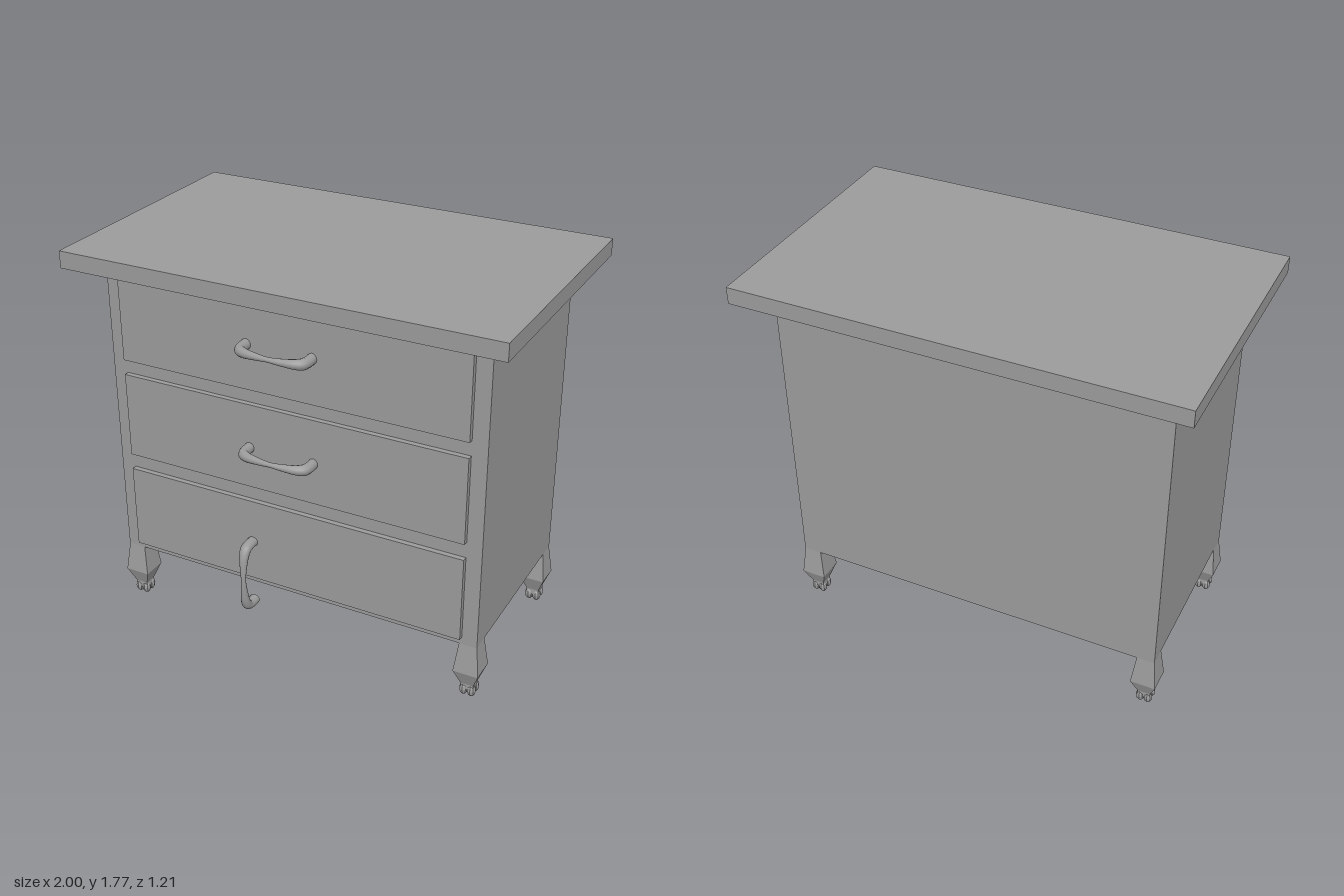
import * as THREE from 'three';

const color = 0x9b9b9b;
const smooth = new THREE.MeshStandardMaterial({ color });
const faceted = new THREE.MeshStandardMaterial({ color, flatShading: true });

function add(parent, name, geometry, material, x = 0, y = 0, z = 0) {
  const mesh = new THREE.Mesh(geometry, material);
  mesh.name = name;
  mesh.position.set(x, y, z);
  parent.add(mesh);
  return mesh;
}

// Bow handle along x, mounted on z = 0, slender in the middle
function createHandle() {
  const handle = new THREE.Group();
  const half = [[0.154, 0], [0.154, 0.035], [0.147, 0.062], [0.12, 0.078], [0.06, 0.088]];
  const points = [
    ...half.map(([x, z]) => new THREE.Vector3(-x, 0, z)),
    new THREE.Vector3(0, 0, 0.091),
    ...half.slice().reverse().map(([x, z]) => new THREE.Vector3(x, 0, z)),
  ];
  const path = new THREE.CatmullRomCurve3(points);
  const rings = 40, sides = 12;
  const bar = new THREE.TubeGeometry(path, rings, 1, sides);
  const pos = bar.attributes.position;
  const v = new THREE.Vector3();
  for (let i = 0; i <= rings; i++) {
    const centre = path.getPointAt(i / rings);
    const t = Math.min(1, Math.abs(centre.x) / 0.145);
    const wide = 0.011 + 0.014 * t ** 1.3;
    const deep = 0.010 + 0.0125 * t;
    for (let j = 0; j <= sides; j++) {
      const k = i * (sides + 1) + j;
      v.fromBufferAttribute(pos, k).sub(centre);
      pos.setXYZ(k, centre.x + v.x * deep, v.y * wide, centre.z + v.z * deep);
    }
  }
  add(handle, 'handleBar', bar, smooth);
  // Flat ends against the drawer
  for (const x of [-0.154, 0.154]) {
    const end = add(handle, 'handleEnd', new THREE.CircleGeometry(1, sides), smooth, x);
    end.rotation.y = Math.PI;
    end.scale.set(0.0225, 0.025, 1);
  }
  return handle;
}

// Square tapered leg with a small clawed foot
function createLeg() {
  const leg = new THREE.Group();
  const profile = [[0, 0.012], [0.02, 0.012], [0.03, 0.035], [0.029, 0.06], [0.058, 0.135], [0.041, 0.277], [0, 0.277]]
    .map(([r, y]) => new THREE.Vector2(r * Math.SQRT2, y));
  add(leg, 'legPost', new THREE.LatheGeometry(profile, 4, Math.PI / 4), faceted);
  const toe = new THREE.SphereGeometry(1, 8, 6);
  for (const x of [-1, 1]) for (const z of [-1, 1]) {
    add(leg, 'toe', toe, faceted, x * 0.018, 0.03, z * 0.018).scale.set(0.02, 0.03, 0.02);
  }
  return leg;
}

export function createModel() {
  const model = new THREE.Group();
  model.name = 'chestOfDrawers';

  add(model, 'body', new THREE.BoxGeometry(1.77, 1.423, 0.89), smooth, 0, 0.9885, 0);
  add(model, 'tabletop', new THREE.BoxGeometry(2, 0.077, 1.21), smooth, 0, 1.7365, 0);

  // Drawer fronts
  for (const y of [0.512, 0.987, 1.457]) {
    add(model, 'drawerFront', new THREE.BoxGeometry(1.63, 0.4, 0.03), smooth, 0, y, 0.454);
  }

  // Two level handles and one hanging from its left mount
  for (const [x, y, turn] of [[-0.033, 1.466, 0], [-0.033, 0.981, 0], [-0.187, 0.353, Math.PI / 2]]) {
    const handle = createHandle();
    handle.name = turn ? 'hangingHandle' : 'drawerHandle';
    handle.position.set(x, y, 0.469);
    handle.rotation.z = turn;
    model.add(handle);
  }

  // Legs
  for (const x of [-1, 1]) for (const z of [-1, 1]) {
    const leg = createLeg();
    leg.name = (z > 0 ? 'front' : 'back') + (x > 0 ? 'Left' : 'Right') + 'Leg';
    leg.position.set(x * 0.844, 0, z * 0.402);
    model.add(leg);
  }
  return model;
}
